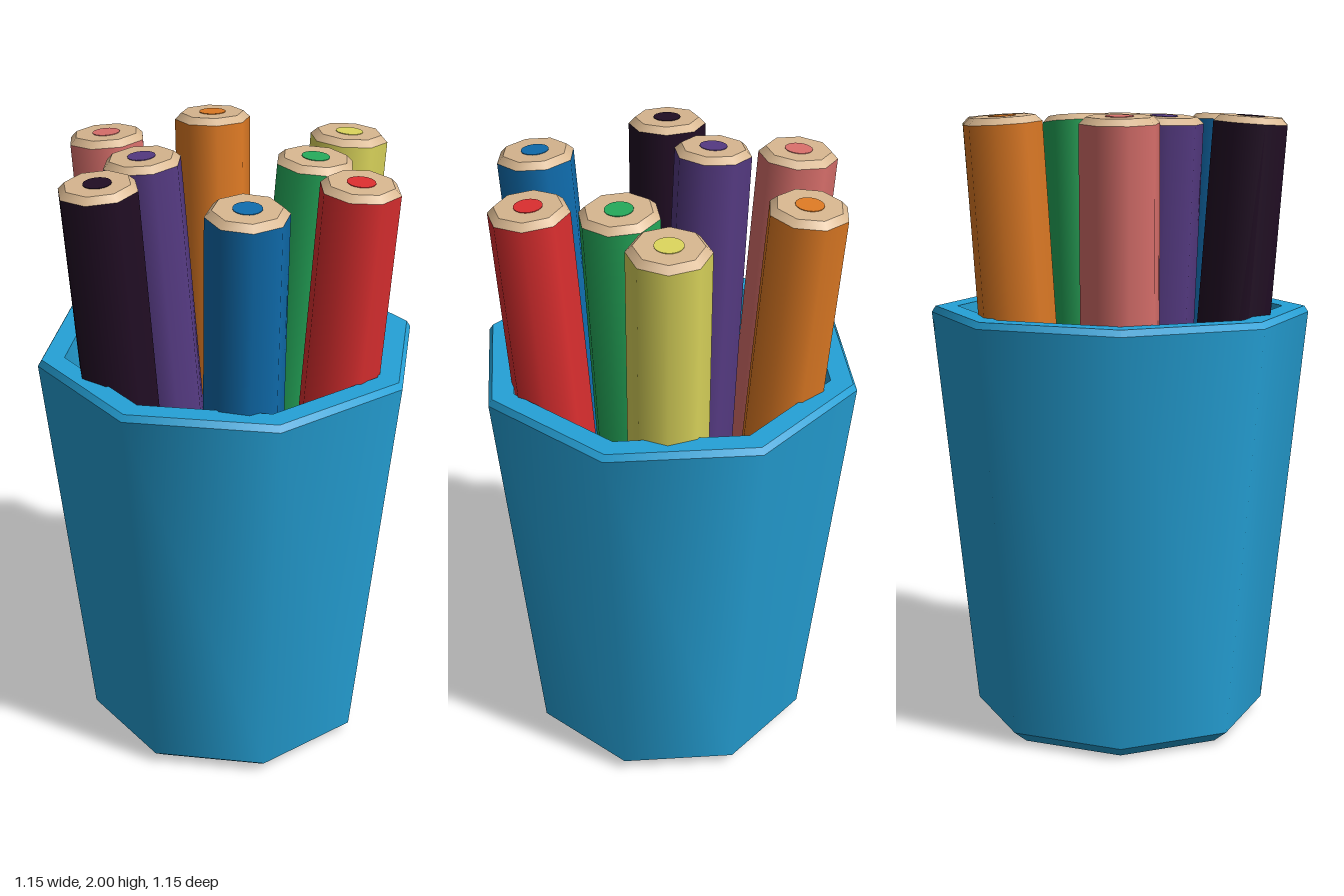
import * as THREE from 'three';
import { mergeGeometries } from 'three/addons/utils/BufferGeometryUtils.js';

const rad = THREE.MathUtils.degToRad;

function material(name, color) {
  const m = new THREE.MeshStandardMaterial({ color });
  m.name = name;
  return m;
}

function part(name, geometry, mat, y = 0) {
  const mesh = new THREE.Mesh(geometry, mat);
  mesh.name = name;
  mesh.position.y = y;
  return mesh;
}

// Eight-sided cup: one lathe band per profile segment keeps the rings sharp
function cupGeometry() {
  const profile = [
    [0, 0], [0.43, 0], [0.48, 0.04], [0.615, 1.36], [0.602, 1.38],
    [0.53, 1.38], [0.41, 0.1], [0, 0.1],
  ].map(([r, y]) => new THREE.Vector2(r, y));
  const bands = [];
  for (let i = 0; i < profile.length - 1; i++) {
    bands.push(new THREE.LatheGeometry([profile[i], profile[i + 1]], 8, rad(20.9), Math.PI * 2));
  }
  return mergeGeometries(bands);
}

// Eight-sided pencil running from a foot point to a top point
function pencil(name, foot, top, spin, paint, wood) {
  const R = 0.123, capH = 0.02;
  const axis = top.clone().sub(foot);
  const length = axis.length();
  const bodyH = length - capH;
  const shaft = new THREE.Group();
  shaft.rotation.y = rad(spin);
  shaft.add(
    part('barrel', new THREE.CylinderGeometry(R, R, bodyH, 8), paint, bodyH / 2),
    part('woodEnd', new THREE.CylinderGeometry(0.102, R, capH, 8), wood, bodyH + capH / 2),
    part('lead', new THREE.CylinderGeometry(0.043, 0.043, 0.003, 20), paint, length + 0.0005),
  );
  const group = new THREE.Group();
  group.name = name;
  group.position.copy(foot);
  group.quaternion.setFromUnitVectors(new THREE.Vector3(0, 1, 0), axis.normalize());
  group.add(shaft);
  return group;
}

export function createModel() {
  const model = new THREE.Group();
  model.name = 'pencilCup';
  model.add(part('cup', cupGeometry(), material('cup blue', 0x25a2d8)));

  const wood = material('wood', 0xd8b790);

  // Opposite pencils mirror each other by a half turn:
  // top x, top z, foot x, foot z, spin, then both colours
  const pairs = [
    [0.41, 0.187, 0.285, 0.125, 33, ['red', 0xdd2f30], ['pink', 0xda706c]],
    [0.35, -0.285, 0.24, -0.19, 38, ['yellow', 0xdcd65c], ['black', 0x210d24]],
    [0.262, -0.03, 0.121, -0.018, 25, ['green', 0x25aa5b], ['purple', 0x553a82]],
    [0.105, 0.44, 0.067, 0.3, 14, ['blue', 0x0f6cad], ['orange', 0xde7a24]],
  ];
  for (const [tx, tz, fx, fz, spin, ...colors] of pairs) {
    colors.forEach(([color, hex], i) => {
      const s = i === 0 ? 1 : -1;
      const foot = new THREE.Vector3(fx * s, 0.1, fz * s);
      const top = new THREE.Vector3(tx * s, 1.991, tz * s);
      model.add(pencil(color + 'Pencil', foot, top, spin, material(color + ' paint', hex), wood));
    });
  }
  return model;
}
